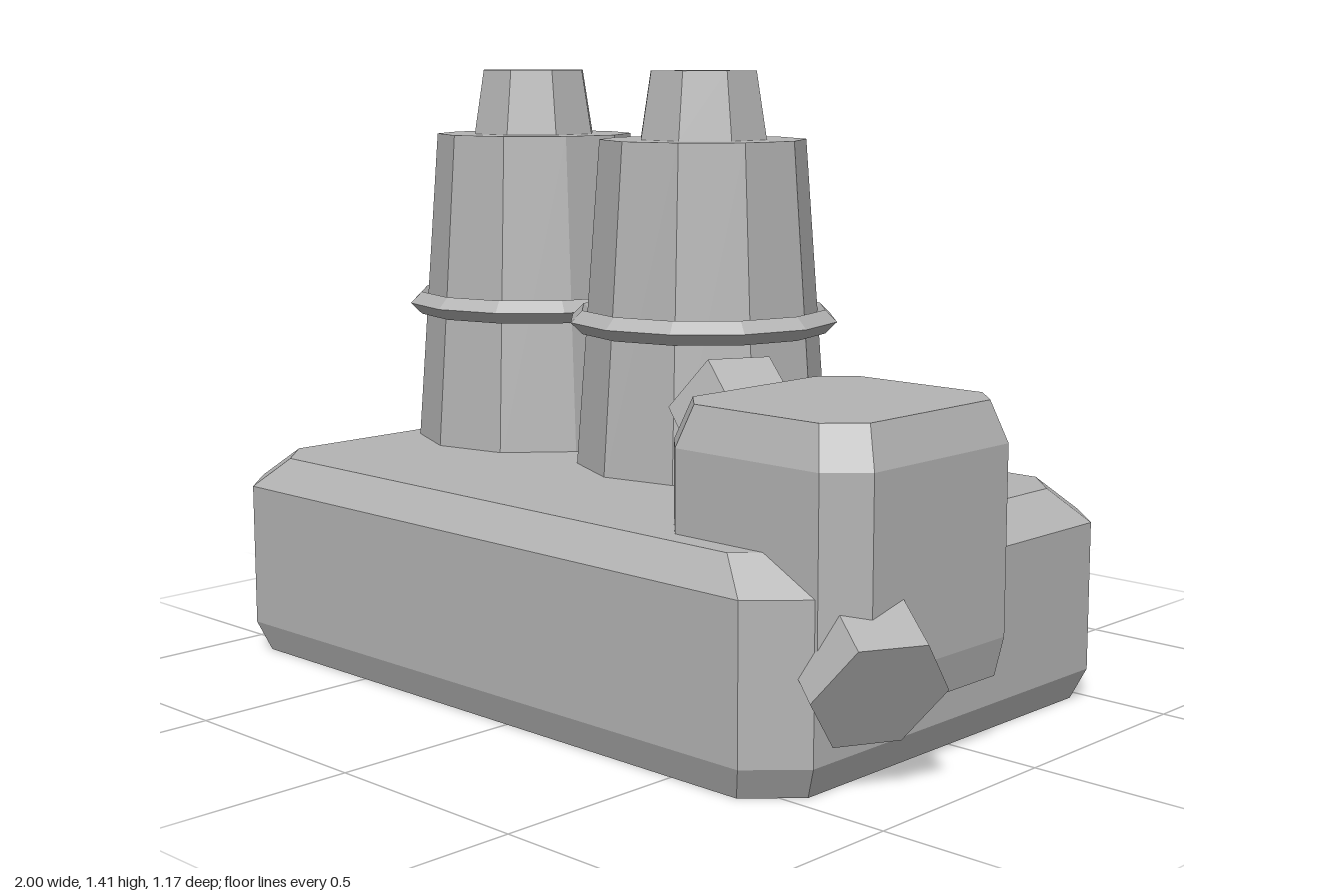
import * as THREE from 'three';

export function createModel() {
  const root = new THREE.Group();
  root.name = 'factory';
  const grey = new THREE.MeshStandardMaterial({ color: 0xb4b4b4, flatShading: true });
  grey.name = 'plain grey';

  function add(name, geometry, x = 0, y = 0, z = 0, parent = root) {
    const mesh = new THREE.Mesh(geometry, grey);
    mesh.name = name;
    mesh.position.set(x, y, z);
    parent.add(mesh);
    return mesh;
  }

  // Block with cut corners, lofted through levels of [y, halfX, halfZ, cornerCut]
  function chamferedBlock(levels) {
    const pos = [];
    const rings = levels.map(([y, hx, hz, c]) => [
      [hx, hz - c], [hx - c, hz], [c - hx, hz], [-hx, hz - c],
      [-hx, c - hz], [c - hx, -hz], [hx - c, -hz], [hx, c - hz],
    ].map(([x, z]) => [x, y, z]));
    const tri = (a, b, c) => pos.push(...a, ...b, ...c);
    for (let l = 0; l < rings.length - 1; l++) {
      for (let i = 0; i < 8; i++) {
        const j = (i + 1) % 8, lo = rings[l], hi = rings[l + 1];
        tri(lo[i], hi[j], lo[j]);
        tri(lo[i], hi[i], hi[j]);
      }
    }
    const bottom = rings[0], top = rings[rings.length - 1];
    for (let i = 1; i < 7; i++) {
      tri(bottom[0], bottom[i], bottom[i + 1]);
      tri(top[0], top[i + 1], top[i]);
    }
    const g = new THREE.BufferGeometry();
    g.setAttribute('position', new THREE.Float32BufferAttribute(pos, 3));
    g.computeVertexNormals();
    return g;
  }

  // Foundation slab
  add('base', chamferedBlock([
    [0, 0.875, 0.56, 0.1], [0.07, 0.905, 0.585, 0.105],
    [0.41, 0.905, 0.585, 0.105], [0.482, 0.815, 0.53, 0.095],
  ]), -0.095);

  // Tank overhanging the front corner
  add('tank', chamferedBlock([
    [0.165, 0.25, 0.28, 0.07], [0.25, 0.266, 0.295, 0.075],
    [0.66, 0.266, 0.295, 0.075], [0.75, 0.235, 0.266, 0.07],
  ]), 0.626, 0, 0.185);

  // Two chimneys, each with a collar ring and a cap
  for (const [name, x] of [['rightChimney', -0.655], ['leftChimney', -0.065]]) {
    const chimney = new THREE.Group();
    chimney.name = name;
    chimney.position.set(x, 0, -0.135);
    root.add(chimney);
    add('stack', new THREE.CylinderGeometry(0.245, 0.305, 0.805, 10, 1, false, Math.PI / 6),
      0, 0.8525, 0, chimney);
    add('collar', new THREE.TorusGeometry(0.296, 0.028, 4, 12), 0, 0.83, 0, chimney)
      .rotation.x = Math.PI / 2;
    add('cap', new THREE.CylinderGeometry(0.133, 0.159, 0.16, 8, 1, false, Math.PI / 8),
      0, 1.335, 0, chimney);
  }

  // Six-sided pipe sloping from the chimney through the tank
  const start = new THREE.Vector3(0.155, 0.665, 0.01);
  const end = new THREE.Vector3(0.91, 0.22, 0.4);
  const axis = end.clone().sub(start);
  const length = axis.length();
  axis.normalize();
  const side = new THREE.Vector3(-axis.z, 0, axis.x).normalize();
  const up = axis.clone().cross(side);
  const pipe = add('pipe', new THREE.CylinderGeometry(0.147, 0.147, length, 6));
  pipe.position.copy(start).add(end).multiplyScalar(0.5);
  pipe.quaternion.setFromRotationMatrix(new THREE.Matrix4().makeBasis(up, axis, side));

  return root;
}
